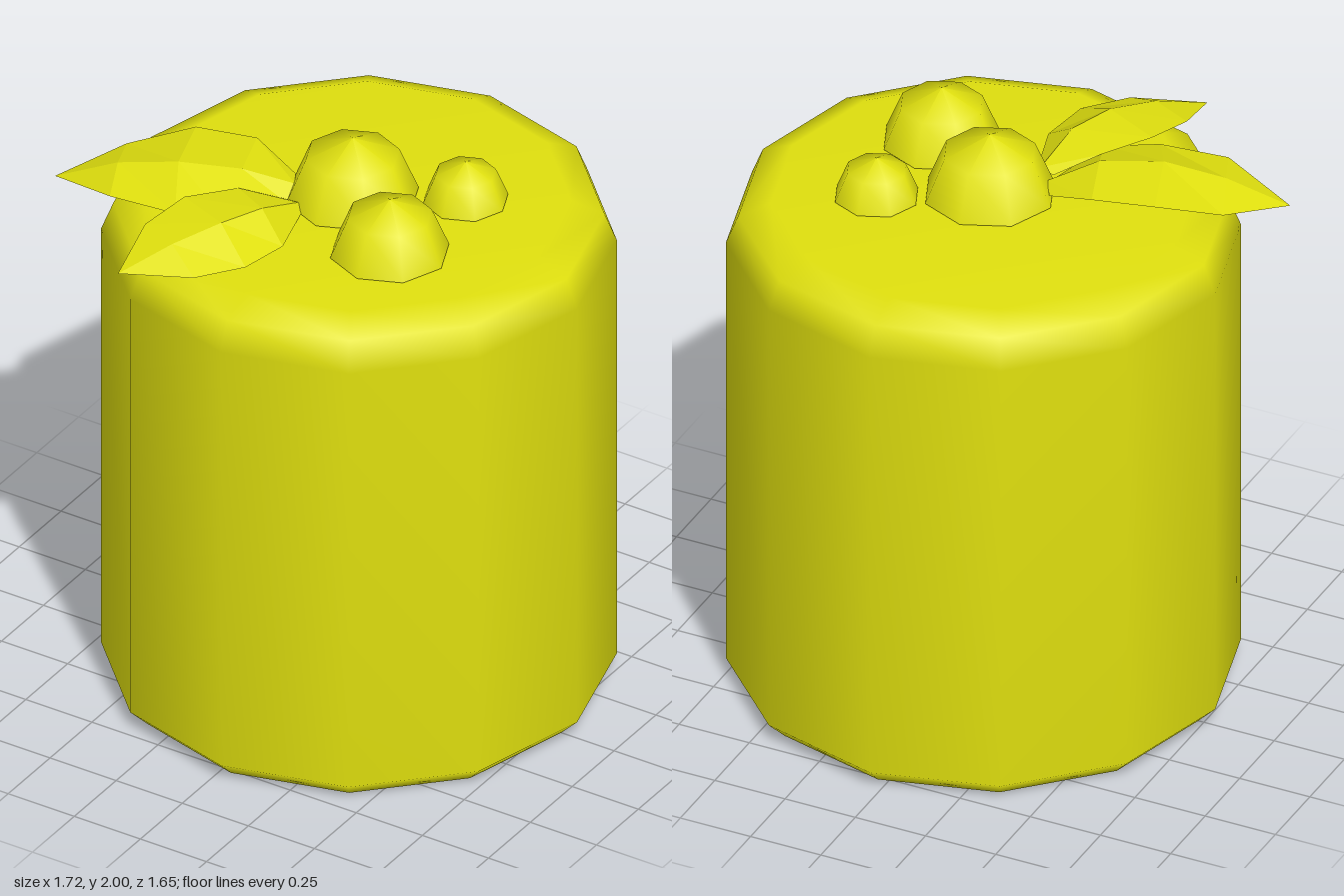
import * as THREE from 'three';

const yellow = new THREE.MeshStandardMaterial({ color: 0xe0e00e, side: THREE.DoubleSide });
yellow.name = 'yellow';

function part(name, geometry) {
  const mesh = new THREE.Mesh(geometry, yellow);
  mesh.name = name;
  return mesh;
}

// Smooth lathe from [radius, height] pairs
function turned(profile, sides) {
  return new THREE.LatheGeometry(profile.map(([r, y]) => new THREE.Vector2(r, y)), sides);
}

// Half-dome berry with an open base
function berry(name, x, y, z, radius, height) {
  const profile = [0, Math.PI / 4, Math.PI / 2].map(a => [
    a > 1.5 ? 0 : radius * Math.cos(a), height * Math.sin(a)]);
  const mesh = part(name, turned(profile, 8));
  mesh.position.set(x, y, z);
  return mesh;
}

// Folded leaf: each row holds left edge, midrib and right edge, base to tip
function leaf(name, rows, tip) {
  const all = [...rows, [tip, tip, tip]];
  const points = [];
  for (let i = 0; i < rows.length; i++) {
    const a = all[i], b = all[i + 1];
    for (let k = 0; k < 2; k++) {
      points.push(...a[k], ...b[k], ...a[k + 1]);
      if (i < rows.length - 1) points.push(...b[k], ...b[k + 1], ...a[k + 1]);
    }
  }
  const geometry = new THREE.BufferGeometry();
  geometry.setAttribute('position', new THREE.Float32BufferAttribute(points, 3));
  geometry.computeVertexNormals();
  return part(name, geometry);
}

export function createModel() {
  const group = new THREE.Group();
  group.name = 'cake';

  // Twelve-sided body with bevelled rims
  const body = part('body', turned([
    [0, 0], [0.765, 0], [0.825, 0.06], [0.825, 1.63], [0.785, 1.73], [0.68, 1.775], [0, 1.775],
  ], 12));
  body.position.x = 0.035;
  group.add(body);

  // Berries
  group.add(
    berry('largeBerry', 0.02, 1.783, 0.015, 0.217, 0.217),
    berry('middleBerry', 0.297, 1.783, 0.23, 0.195, 0.195),
    berry('smallBerry', 0.337, 1.783, -0.16, 0.14, 0.14),
  );

  // Leaves
  group.add(
    leaf('sideLeaf', [
      [[-0.18, 1.81, 0.04], [-0.14, 1.82, 0.105], [-0.13, 1.785, 0.17]],
      [[-0.35, 1.865, 0], [-0.28, 1.88, 0.2], [-0.2, 1.8, 0.4]],
      [[-0.55, 1.865, 0.05], [-0.47, 1.885, 0.28], [-0.37, 1.82, 0.46]],
      [[-0.73, 1.81, 0.18], [-0.665, 1.845, 0.335], [-0.6, 1.82, 0.485]],
    ], [-0.862, 1.76, 0.398]),
    leaf('frontLeaf', [
      [[-0.13, 1.8, 0.17], [-0.08, 1.81, 0.18], [-0.06, 1.785, 0.19]],
      [[-0.25, 1.855, 0.27], [-0.11, 1.87, 0.35], [0, 1.79, 0.4]],
      [[-0.36, 1.865, 0.42], [-0.17, 1.875, 0.5], [-0.03, 1.795, 0.575]],
      [[-0.4, 1.84, 0.59], [-0.26, 1.845, 0.65], [-0.14, 1.79, 0.71]],
    ], [-0.367, 1.78, 0.805]),
  );
  return group;
}
